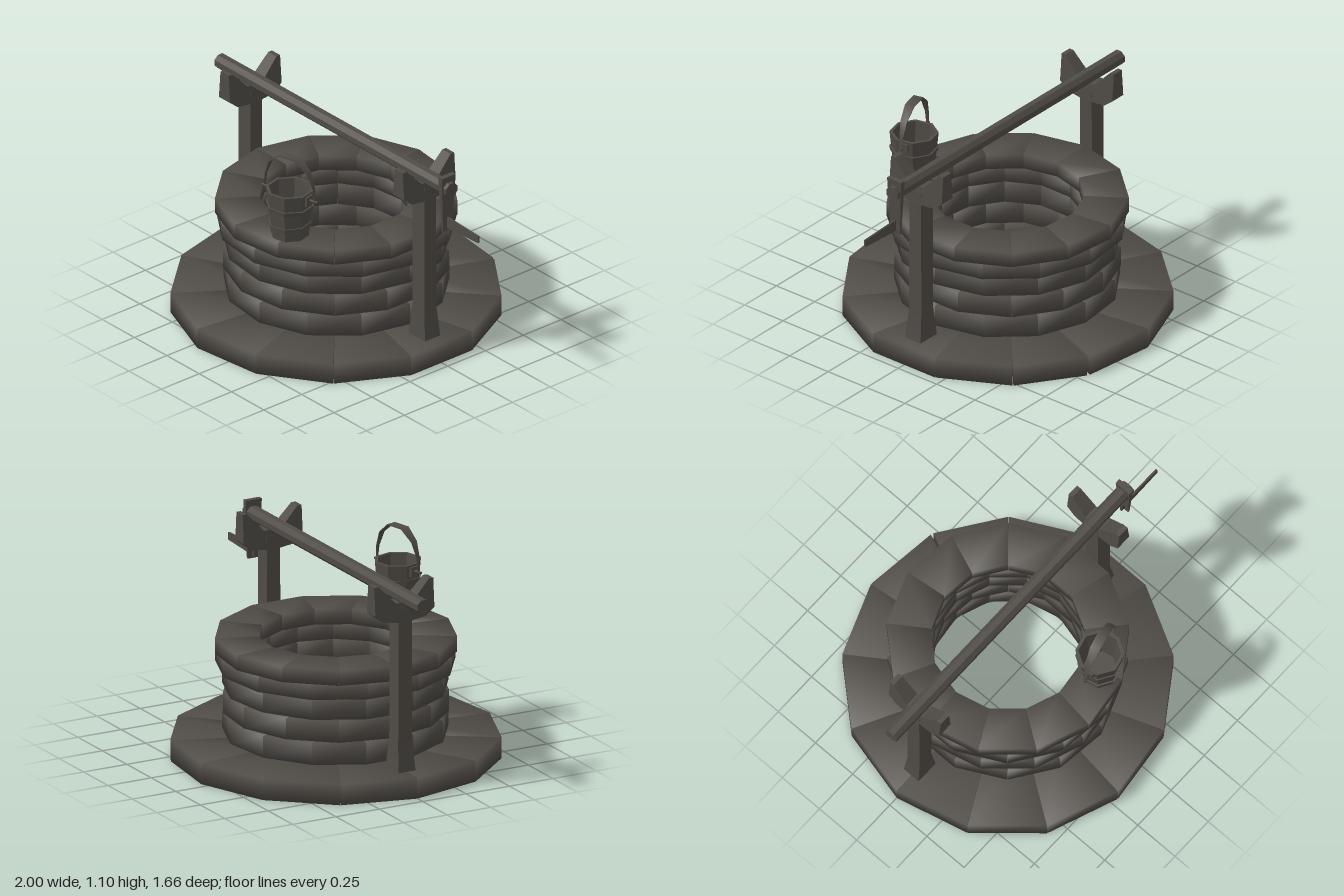
import * as THREE from 'three';
import { mergeVertices } from 'three/addons/utils/BufferGeometryUtils.js';

const stone = new THREE.MeshStandardMaterial({ color: 0x4f4b45, side: THREE.DoubleSide });
stone.name = 'dark stone and wood';
const CX = -0.11, COUNT = 13, STEP = Math.PI * 2 / COUNT;

function add(parent, name, geometry, x = 0, y = 0, z = 0) {
  const mesh = new THREE.Mesh(geometry, stone);
  mesh.name = name;
  mesh.position.set(x, y, z);
  parent.add(mesh);
  return mesh;
}

// Move every vertex by a rule; soft shares the corner normals
function reshape(geometry, rule, soft) {
  const p = geometry.attributes.position, v = new THREE.Vector3();
  for (let i = 0; i < p.count; i++) {
    rule(v.fromBufferAttribute(p, i));
    p.setXYZ(i, v.x, v.y, v.z);
  }
  if (soft) {
    geometry.deleteAttribute('normal');
    geometry.deleteAttribute('uv');
    geometry = mergeVertices(geometry, 1e-5);
  }
  geometry.computeVertexNormals();
  return geometry;
}

// One wedge-shaped block between two angles
function wedge(a0, a1, inner, outer, y0, y1, lowInner) {
  return reshape(new THREE.BoxGeometry(1, 1, 1), v => {
    const a = v.x < 0 ? a0 : a1;
    const r = v.z > 0 ? outer : v.y < 0 ? lowInner : inner;
    v.set(Math.sin(a) * r, v.y < 0 ? y0 : y1, Math.cos(a) * r);
  }, true);
}

function ring(parent, name, inner, outer, y0, y1, shift, lowInner = inner, openJoint = -1) {
  const group = new THREE.Group();
  group.name = name;
  group.position.x = CX;
  for (let i = 0; i < COUNT; i++) {
    const a = -Math.PI / 2 + (i + shift) * STEP;
    const gap = i === openJoint ? 0.018 : 0.002;
    add(group, name + 'Block', wedge(a + 0.002, a + STEP - gap, inner, outer, y0, y1, lowInner));
  }
  parent.add(group);
}

// Post with a flared foot and a forked bracket for the beam
function makePost(x) {
  const post = new THREE.Group();
  post.name = 'post';
  post.position.x = x;
  const levels = [[0.11, 0.064, 0.05], [0.27, 0.046, 0.04], [0.95, 0.046, 0.038], [0.985, 0.04, 0.036]];
  add(post, 'postShaft', reshape(new THREE.BoxGeometry(2, 3, 2, 1, 3, 1), v => {
    const [y, w, d] = levels[Math.round(v.y + 1.5)];
    v.set(v.x * w, y, v.z * d);
  }));
  const half = [[0.04, 0.9], [0.12, 0.91], [0.17, 0.95], [0.17, 1.1], [0.145, 1.1], [0.05, 1.0]];
  const outline = [...half, ...half.slice().reverse().map(([z, y]) => [-z, y])];
  const shape = new THREE.Shape(outline.map(([z, y]) => new THREE.Vector2(z, y)));
  const fork = new THREE.ExtrudeGeometry(shape, { depth: 1, bevelEnabled: false });
  fork.translate(0, 0, -0.5);
  fork.rotateY(Math.PI / 2);
  add(post, 'postFork', reshape(fork, v => { v.x *= 0.095 - (v.y - 0.9) * 0.16; }));
  return post;
}

// Bucket with two bands, side pins and a flat arched handle
function makeBucket() {
  const bucket = new THREE.Group();
  bucket.name = 'bucket';
  bucket.position.set(0.068, 0.64, 0.46);
  bucket.rotation.y = 0.24;
  const lathe = pts => {
    const g = new THREE.LatheGeometry(pts.map(([r, y]) => new THREE.Vector2(r, y)), 8).toNonIndexed();
    g.rotateY(Math.PI / 8);
    g.computeVertexNormals();
    return g;
  };
  add(bucket, 'bucketBody', lathe([[0, 0], [0.098, 0], [0.124, 0.26], [0.108, 0.26], [0.086, 0.04], [0, 0.04]]));
  [[0.05, 0.11], [0.155, 0.121]].forEach(([y, r], i) => {
    const band = add(bucket, 'bucketBand', lathe([[r - 0.02, 0], [r, 0], [r + 0.004, 0.024], [r - 0.016, 0.024]]), 0, y, 0);
    band.rotation.z = i ? -0.03 : 0.04;
  });
  for (const s of [-1, 1]) {
    add(bucket, 'bucketEar', new THREE.BoxGeometry(0.02, 0.05, 0.05), s * 0.115, 0.225, 0);
    const pin = add(bucket, 'handlePin', new THREE.CylinderGeometry(0.007, 0.007, 0.05, 6), s * 0.145, 0.228, 0);
    pin.rotation.z = Math.PI / 2;
  }
  const path = [[-0.155, 0.225, 0.006], [-0.148, 0.3, 0.01], [-0.118, 0.38, 0.018], [-0.05, 0.437, 0.026],
    [0.05, 0.437, 0.026], [0.118, 0.38, 0.018], [0.148, 0.3, 0.01], [0.155, 0.225, 0.006]];
  add(bucket, 'bucketHandle', reshape(new THREE.BoxGeometry(7, 2, 2, 7, 1, 1), v => {
    const [x, y, w] = path[Math.round(v.x + 3.5)];
    const scale = 1 + v.y * 0.012;
    v.set(x * scale, 0.225 + (y - 0.225) * scale, v.z * w);
  }));
  return bucket;
}

export function createModel() {
  const model = new THREE.Group();
  model.name = 'well';

  // Stone base, wall courses and rim
  ring(model, 'base', 0.4, 0.837, 0, 0.11, 0, 0.45, 8);
  ring(model, 'wallCourseLow', 0.39, 0.572, 0.122, 0.235, 0.5);
  ring(model, 'wallCourseMiddle', 0.39, 0.572, 0.243, 0.352, 0);
  ring(model, 'wallCourseHigh', 0.39, 0.572, 0.36, 0.472, 0.5);
  ring(model, 'rimLower', 0.39, 0.608, 0.477, 0.557, 0.5);
  ring(model, 'rimUpper', 0.39, 0.613, 0.557, 0.637, 0);

  // Posts and crossbeam
  for (const x of [-0.775, 0.57]) model.add(makePost(x));
  const beam = add(model, 'crossbeam', new THREE.CylinderGeometry(0.04, 0.04, 1.79, 8).toNonIndexed(), -0.105, 1.025, 0.007);
  beam.geometry.rotateY(Math.PI / 8);
  beam.geometry.computeVertexNormals();
  beam.rotation.z = Math.PI / 2;

  // Crank arm tapering downwards, and its flat grip
  const crank = new THREE.Group();
  crank.name = 'crank';
  add(crank, 'crankArm', reshape(new THREE.BoxGeometry(2, 1, 2), v => {
    const top = v.y > 0;
    v.set(0.756 + v.x * (top ? 0.014 : 0.005), top ? 1.095 : 0.785, 0.01 + v.z * (top ? 0.046 : 0.03));
  }));
  add(crank, 'crankGrip', reshape(new THREE.BoxGeometry(2, 2, 2), v => {
    const end = v.x > 0;
    v.set(end ? 1 : 0.73, 0.831 + v.y * (end ? 0.019 : 0.032), 0.01 + v.z * 0.005);
  }));
  model.add(crank);

  model.add(makeBucket());
  return model;
}
